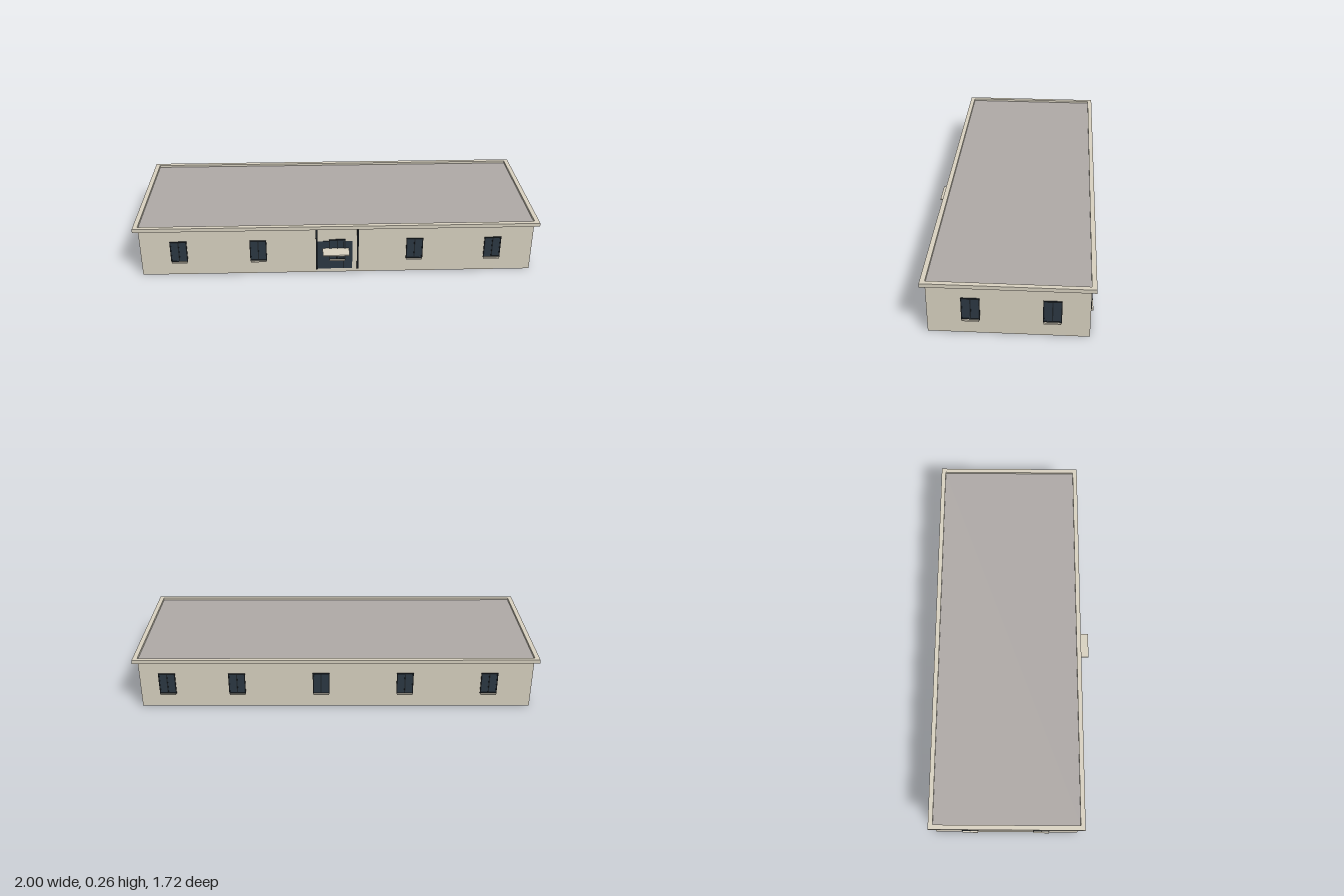
import * as THREE from 'three';

export function createModel() {
  const model = new THREE.Group();
  model.name = 'building';
  const paint = (name, color) => {
    const m = new THREE.MeshStandardMaterial({ color });
    m.name = name;
    return m;
  };
  const plaster = paint('cream plaster', 0xd8d1c0);
  const roofing = paint('grey roofing', 0xaea9a6);
  const glass = paint('dark glass', 0x2c3843);
  const frame = paint('charcoal frame', 0x1e2429);

  const L = 0.943, W = 0.347; // half length and half width of the walls

  const box = (parent, name, mat, w, h, d, x, y, z) => {
    const m = new THREE.Mesh(new THREE.BoxGeometry(w, h, d), mat);
    m.name = name;
    m.position.set(x, y, z);
    parent.add(m);
  };

  // Rectangular ring standing from y0 to y1
  const ring = (name, mat, a, b, t, y0, y1) => {
    const rect = (P, x, y) => new P([[-x, -y], [x, -y], [x, y], [-x, y]].map(p => new THREE.Vector2(...p)));
    const s = rect(THREE.Shape, a, b);
    s.holes.push(rect(THREE.Path, a - t, b - t));
    const g = new THREE.ExtrudeGeometry(s, { depth: y1 - y0, bevelEnabled: false });
    g.rotateX(-Math.PI / 2);
    const m = new THREE.Mesh(g, mat);
    m.name = name;
    m.position.y = y0;
    model.add(m);
  };

  // Open-bottomed shell, eave with parapet lip, sunken flat roof
  ring('walls', plaster, L, W, 0.006, 0, 0.246);
  ring('eave', plaster, L + 0.023, W + 0.02, 0.022, 0.245, 0.263);
  box(model, 'roof', roofing, 2 * L + 0.006, 0.006, 2 * W + 0.002, 0, 0.249, 0);

  // One wall group per side: local x runs along the wall, z points outwards
  const side = (name, angle, dist, windows) => {
    const wall = new THREE.Group();
    wall.name = name;
    wall.rotation.y = angle;
    wall.position.set(Math.sin(angle) * dist, 0, Math.cos(angle) * dist);
    model.add(wall);
    for (const x of windows) {
      const win = new THREE.Group();
      win.name = 'window';
      win.position.set(x, 0.127, 0);
      wall.add(win);
      box(win, 'pane', glass, 0.076, 0.106, 0.004, 0, 0, 0.001);
      for (const s of [-1, 1]) {
        box(win, 'frameSide', frame, 0.005, 0.11, 0.008, s * 0.0375, 0, 0.002);
        box(win, 'frameRail', frame, 0.08, 0.005, 0.008, 0, s * 0.0525, 0.002);
      }
      box(win, 'mullion', frame, 0.005, 0.106, 0.008, 0, 0, 0.002);
      box(win, 'sill', plaster, 0.074, 0.006, 0.014, 0, -0.056, 0.006);
    }
    return wall;
  };
  const front = side('frontSide', 0, W, [-0.76, -0.38, 0, 0.373, 0.75]);
  side('backSide', Math.PI, W, [-0.812, -0.477, -0.072, 0.332, 0.737]);
  side('leftEnd', Math.PI / 2, L, [-0.16, 0.187]);
  side('rightEnd', -Math.PI / 2, L, [-0.177, 0.168]);

  // Entrance: glazed door, tall posts and a small canopy
  const entrance = new THREE.Group();
  entrance.name = 'entrance';
  front.add(entrance);
  box(entrance, 'door', glass, 0.17, 0.152, 0.004, -0.012, 0.096, 0);
  box(entrance, 'doorInside', glass, 0.135, 0.09, 0.004, -0.028, 0.05, -0.006);
  box(entrance, 'doorMullion', frame, 0.005, 0.15, 0.006, 0.03, 0.096, 0.001);
  for (const s of [-1, 1])
    box(entrance, 'post', frame, 0.008, 0.222, 0.012, s * 0.099, 0.131, 0.003);
  box(entrance, 'canopy', plaster, 0.127, 0.006, 0.069, -0.007, 0.131, 0.0345);

  model.rotation.y = -0.62;
  const root = new THREE.Group();
  root.name = 'model';
  root.add(model);
  return root;
}
